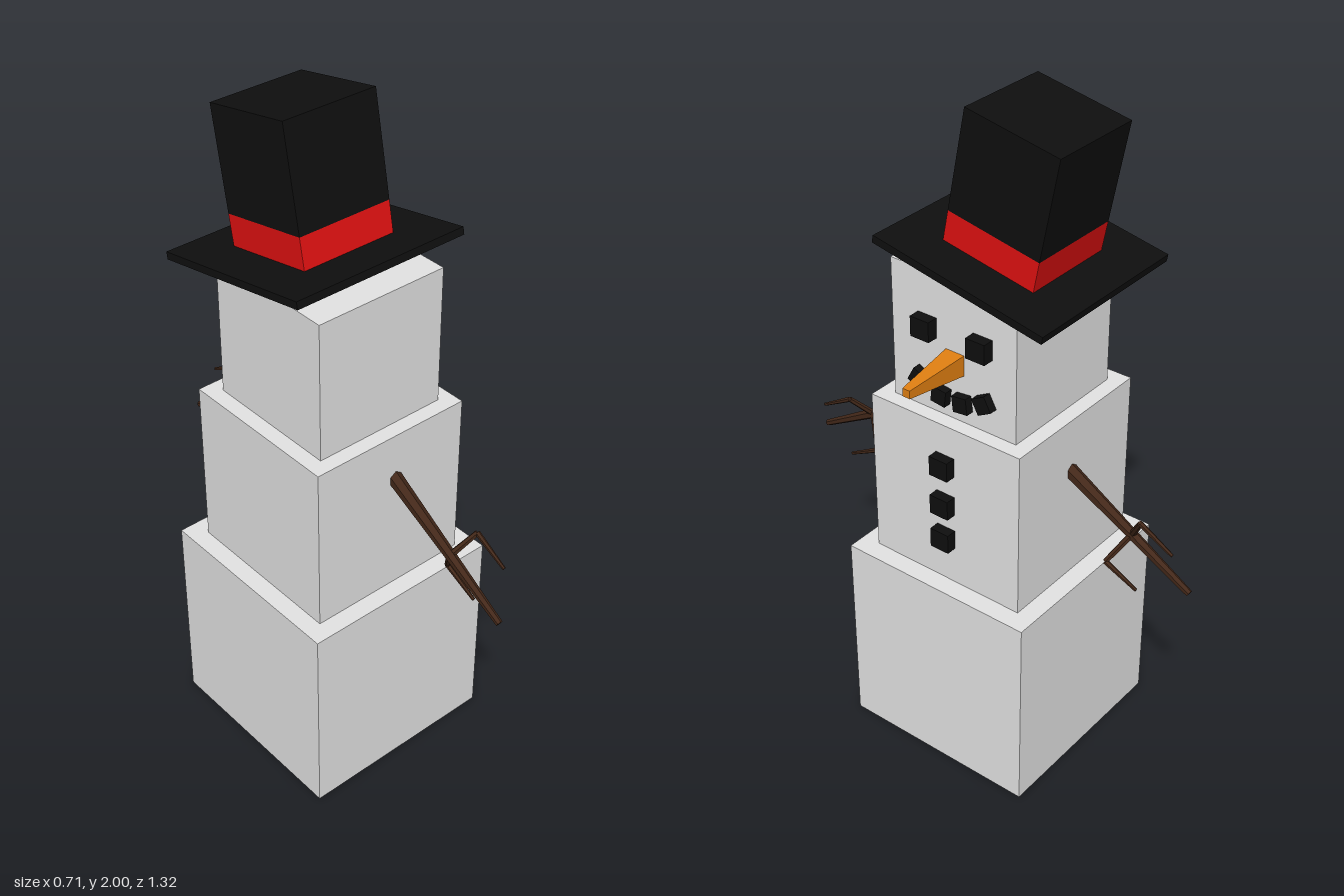
import * as THREE from 'three';

const mat = (name, color) => {
  const m = new THREE.MeshStandardMaterial({ color, flatShading: true });
  m.name = name;
  return m;
};

export function createModel() {
  const snow = mat('snow', 0xe4e4e4);
  const black = mat('black', 0x0f0f0f);
  const red = mat('red', 0xe01111);
  const orange = mat('orange', 0xe07f12);
  const bark = mat('bark', 0x432819);

  const model = new THREE.Group();
  model.name = 'snowman';

  const add = (parent, name, geometry, material, x, y, z) => {
    const mesh = new THREE.Mesh(geometry, material);
    mesh.name = name;
    mesh.position.set(x, y, z);
    parent.add(mesh);
    return mesh;
  };
  const box = (parent, name, material, w, h, d, x, y, z) =>
    add(parent, name, new THREE.BoxGeometry(w, h, d), material, x, y, z);

  // Tapered stick between two points
  const stick = (parent, name, a, b, r0, r1) => {
    const from = new THREE.Vector3(...a), to = new THREE.Vector3(...b);
    const dir = to.clone().sub(from);
    const mid = from.clone().add(to).multiplyScalar(0.5);
    const mesh = add(parent, name, new THREE.CylinderGeometry(r1, r0, dir.length(), 6), bark, mid.x, mid.y, mid.z);
    mesh.quaternion.setFromUnitVectors(new THREE.Vector3(0, 1, 0), dir.normalize());
  };

  // Stacked body cubes
  box(model, 'base', snow, 0.622, 0.627, 0.622, -0.048, 0.3135, -0.006);
  box(model, 'torso', snow, 0.508, 0.513, 0.508, -0.05, 0.8835, -0.005);
  box(model, 'head', snow, 0.415, 0.417, 0.415, -0.049, 1.3485, -0.005);

  // Coal eyes and buttons; the face looks along +x
  for (const z of [0.082, -0.103]) box(model, 'eye', black, 0.06, 0.06, 0.062, 0.162, 1.397, z);
  for (const y of [1.016, 0.889, 0.775]) box(model, 'button', black, 0.06, 0.06, 0.062, 0.205, y, -0.008);

  // Coal mouth
  for (const [z, y, tilt] of [[0.103, 1.233, -0.5], [0.03, 1.206, -0.12], [-0.042, 1.206, 0.12], [-0.115, 1.233, 0.5]]) {
    box(model, 'mouthCoal', black, 0.048, 0.048, 0.048, 0.159, y, z).rotation.x = tilt;
  }

  // Square tapered nose
  const noseShape = new THREE.CylinderGeometry(0.012 * Math.SQRT2, 0.031 * Math.SQRT2, 0.2, 4);
  noseShape.rotateY(Math.PI / 4);
  noseShape.rotateZ(-Math.PI / 2);
  add(model, 'nose', noseShape, orange, 0.254, 1.316, -0.01);

  // Tilted top hat
  const hat = new THREE.Group();
  hat.name = 'hat';
  hat.position.set(-0.046, 1.585, -0.071);
  hat.rotation.x = -0.192;
  model.add(hat);
  box(hat, 'brim', black, 0.55, 0.022, 0.55, 0, 0, 0);
  box(hat, 'hatBand', red, 0.295, 0.09, 0.295, 0, 0.056, 0);
  box(hat, 'crown', black, 0.295, 0.296, 0.295, 0, 0.249, 0);

  // Twig arms: shoulder, tip, fork point, then two bent fingers [elbow, end]
  const arms = [
    ['leftArm', [-0.034, 1.022, 0.2], [-0.033, 0.757, 0.66], [-0.033, 0.868, 0.468],
      [[[0.028, 0.934, 0.503], [0.029, 0.876, 0.606]], [[0.008, 0.778, 0.418], [0.008, 0.722, 0.524]]]],
    ['rightArm', [-0.034, 1.005, -0.2], [-0.033, 0.744, -0.655], [-0.033, 0.855, -0.465],
      [[[0.008, 0.936, -0.514], [0.008, 0.878, -0.618]], [[0.028, 0.778, -0.422], [0.029, 0.73, -0.526]]]],
  ];
  for (const [name, shoulder, tip, fork, fingers] of arms) {
    const arm = new THREE.Group();
    arm.name = name;
    model.add(arm);
    stick(arm, 'branch', shoulder, tip, 0.023, 0.01);
    for (const [elbow, end] of fingers) {
      stick(arm, 'twig', fork, elbow, 0.01, 0.008);
      stick(arm, 'twigTip', elbow, end, 0.008, 0.005);
    }
  }

  return model;
}
